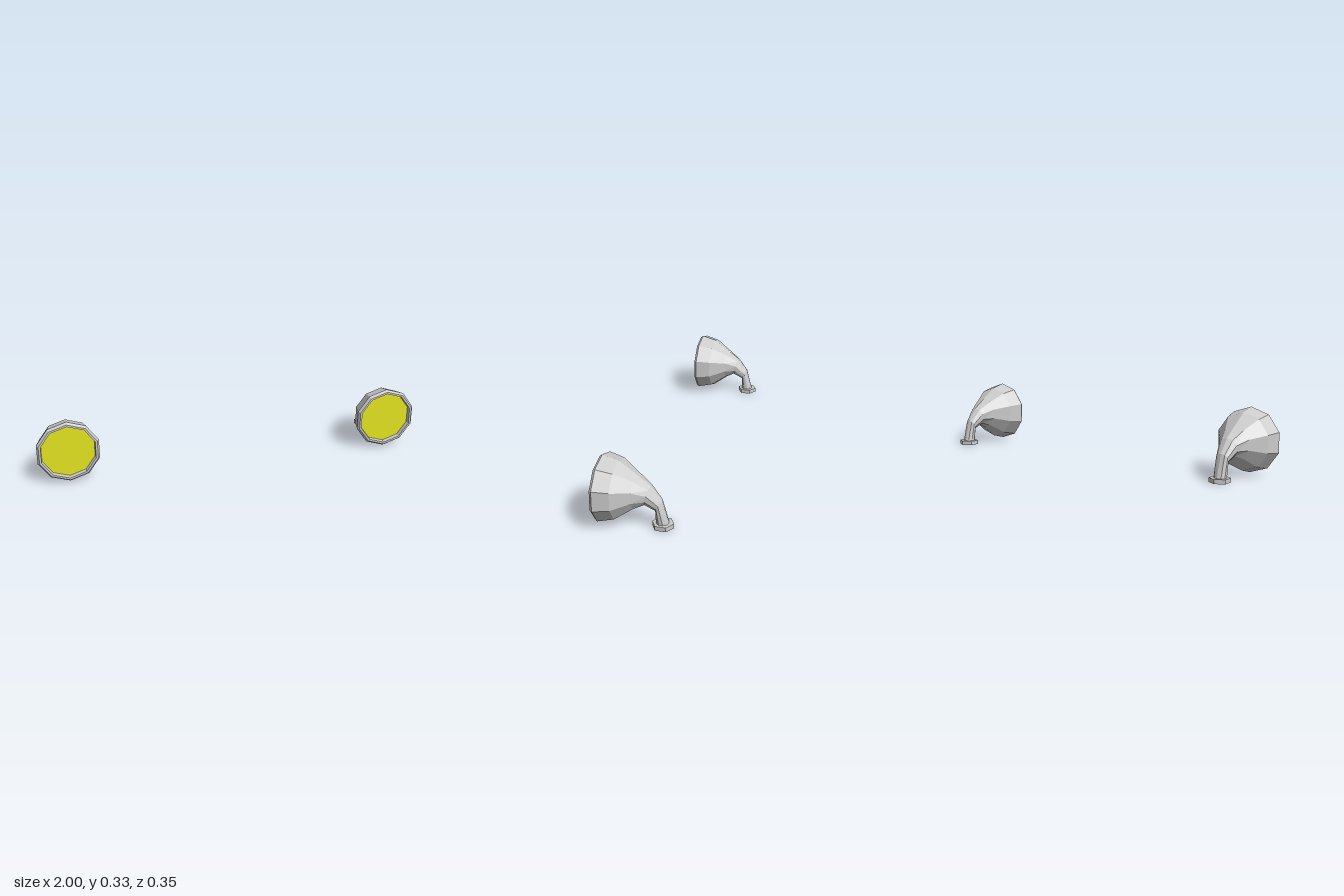
import * as THREE from 'three';

const SIDES = 10;

// Lofts ten-sided rings given as [top z, top y, bottom z, bottom y, half width]
function loft(rings) {
  const point = ([tz, ty, bz, by, w], i) => {
    const a = (i / SIDES) * Math.PI * 2;
    const t = (1 - Math.cos(a)) / 2;
    return [w * Math.sin(a), ty + (by - ty) * t, tz + (bz - tz) * t];
  };
  const positions = [];
  for (let r = 0; r < rings.length - 1; r++) {
    for (let i = 0; i < SIDES; i++) {
      const a = point(rings[r], i), b = point(rings[r], i + 1);
      const c = point(rings[r + 1], i), d = point(rings[r + 1], i + 1);
      positions.push(...a, ...b, ...c, ...b, ...d, ...c);
    }
  }
  const geometry = new THREE.BufferGeometry();
  geometry.setAttribute('position', new THREE.Float32BufferAttribute(positions, 3));
  geometry.computeVertexNormals();
  return geometry;
}

// Upright round ring of the lamp bowl
const CENTER_Y = 0.166;
const round = (z, r) => [z, CENTER_Y + r, z, CENTER_Y - r, r];

export function createModel() {
  const model = new THREE.Group();
  const grey = new THREE.MeshStandardMaterial({ color: 0xcccccc, flatShading: true });
  const yellow = new THREE.MeshStandardMaterial({ color: 0xe5e520, flatShading: true });

  // Recessed rim, bowl and the neck bending down to the foot
  const housingGeometry = loft([
    round(0.152, 0.139),
    round(0.175, 0.142),
    round(0.175, 0.153),
    round(0.162, 0.163),
    round(0.085, 0.143),
    [0.005, 0.253, 0.005, 0.082, 0.085],
    [-0.065, 0.203, -0.04, 0.106, 0.05],
    [-0.118, 0.135, -0.088, 0.083, 0.033],
    [-0.151, 0.02, -0.088, 0.02, 0.032],
  ]);
  const lensGeometry = new THREE.CircleGeometry(0.139, SIDES, Math.PI / 2);
  const footGeometry = new THREE.CylinderGeometry(0.052, 0.052, 0.022, 6);

  for (const [name, side] of [['leftLamp', 1], ['rightLamp', -1]]) {
    const lamp = new THREE.Group();
    lamp.name = name;
    lamp.position.x = side * 0.845;

    const housing = new THREE.Mesh(housingGeometry, grey);
    housing.name = 'housing';

    const lens = new THREE.Mesh(lensGeometry, yellow);
    lens.name = 'lens';
    lens.position.set(0, CENTER_Y, 0.152);

    // Hexagonal mounting foot
    const foot = new THREE.Mesh(footGeometry, grey);
    foot.name = 'mountingFoot';
    foot.position.set(0, 0.011, -0.122);

    lamp.add(housing, lens, foot);
    model.add(lamp);
  }
  return model;
}
